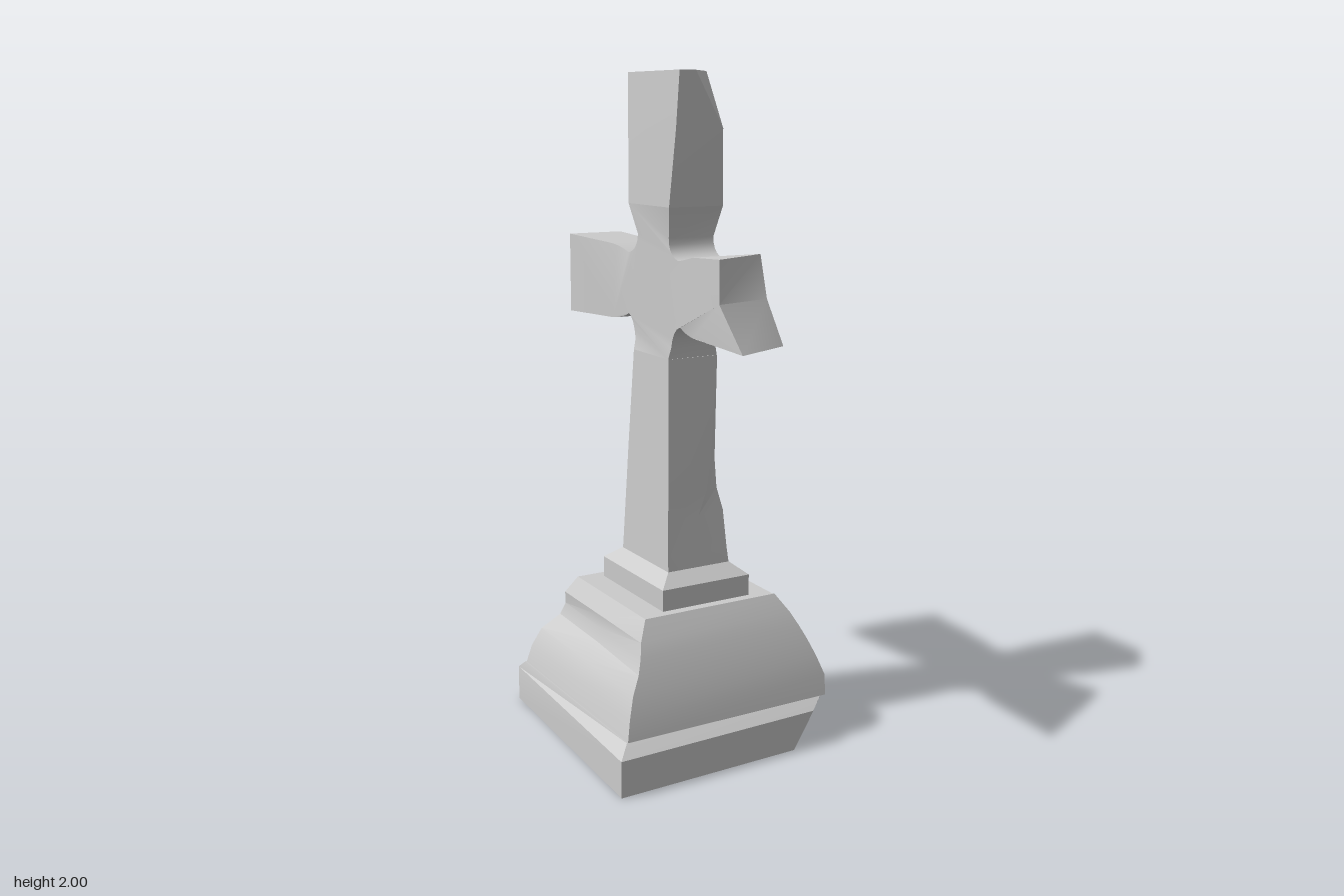
import * as THREE from 'three';
import { toCreasedNormals } from 'three/addons/utils/BufferGeometryUtils.js';

const material = new THREE.MeshStandardMaterial({ color: 0xcccccc });
const lerp = THREE.MathUtils.lerp;

// One horizontal section: front-left, the two ends of the (chipped) front-right corner,
// back-right, back-left. Without a and b the corner is whole.
function ring(y, x, zBack, zFront, a = [x, zFront], b = a) {
  return { y, pts: [[-x, zFront], a, b, [x, zBack], [-x, zBack]] };
}

// Skin between sections, closed at both ends
function loft(rings) {
  const pos = [];
  const P = rings.map(r => r.pts.map(([x, z]) => new THREE.Vector3(x, r.y, z)));
  const n = P[0].length;
  const tri = (a, b, c) => {
    const area = b.clone().sub(a).cross(c.clone().sub(a)).length();
    if (area > 1e-7) for (const v of [a, b, c]) pos.push(v.x, v.y, v.z);
  };
  for (let k = 0; k < P.length - 1; k++) {
    for (let i = 0; i < n; i++) {
      const j = (i + 1) % n;
      tri(P[k][i], P[k][j], P[k + 1][j]);
      tri(P[k][i], P[k + 1][j], P[k + 1][i]);
    }
  }
  const top = P[P.length - 1];
  for (let i = 1; i < n - 1; i++) {
    tri(P[0][0], P[0][i + 1], P[0][i]);
    tri(top[0], top[i], top[i + 1]);
  }
  const g = new THREE.BufferGeometry();
  g.setAttribute('position', new THREE.Float32BufferAttribute(pos, 3));
  return toCreasedNormals(g, 0.35);
}

// Centre of the cross with both arms: a side outline (z, y) given thickness along x
function armsGeometry() {
  const s = new THREE.Shape();
  s.moveTo(0.105, 1.18);
  s.quadraticCurveTo(0.11, 1.27, 0.16, 1.28);
  s.quadraticCurveTo(0.2, 1.26, 0.26, 1.26);
  s.lineTo(0.52, 1.253); // broken front end
  s.lineTo(0.4, 1.375);
  s.lineTo(0.4, 1.497);
  s.lineTo(0.24, 1.488);
  s.quadraticCurveTo(0.18, 1.475, 0.15, 1.47);
  s.quadraticCurveTo(0.095, 1.48, 0.095, 1.53);
  s.lineTo(0.123, 1.62);
  s.lineTo(-0.12, 1.62);
  s.lineTo(-0.09, 1.53);
  s.quadraticCurveTo(-0.095, 1.48, -0.15, 1.47);
  s.quadraticCurveTo(-0.19, 1.485, -0.25, 1.49);
  s.lineTo(-0.52, 1.5);
  s.lineTo(-0.52, 1.25);
  s.lineTo(-0.25, 1.26);
  s.quadraticCurveTo(-0.19, 1.265, -0.15, 1.285);
  s.quadraticCurveTo(-0.11, 1.27, -0.105, 1.18);
  const g = new THREE.ExtrudeGeometry(s, { depth: 1, bevelEnabled: false, curveSegments: 5 });
  const p = g.attributes.position;
  for (let i = 0; i < p.count; i++) {
    let z = p.getX(i);
    const y = p.getY(i), w = p.getZ(i);
    const reach = Math.min(Math.max(Math.abs(z) - 0.18, 0) / (z > 0 ? 0.22 : 0.34), 1);
    let half = lerp(0.075, 0.092, reach);
    if (y > 1.6) half = 0.09;
    else if (y < 1.2) half = 0.083;
    // the break runs further back on the right-hand side
    if (z > 0.35 && w === 0) z -= y > 1.45 ? 0.08 : y > 1.3 ? 0.045 : 0.08;
    p.setXYZ(i, (1 - 2 * w) * half, y, z);
  }
  return toCreasedNormals(g, 0.5);
}

export function createModel() {
  const model = new THREE.Group();
  const add = (name, geometry) => {
    const mesh = new THREE.Mesh(geometry, material);
    mesh.name = name;
    model.add(mesh);
  };

  // Slightly skewed plinth with a broken front corner
  const plinth = (y, a, b) => ({
    y, pts: [[-0.395, 0.387], a, b, [0.39, -0.395], [-0.362, -0.395]],
  });
  add('plinth', loft([
    plinth(0, [0.2, 0.375], [0.365, 0.22]),
    plinth(0.11, [0.27, 0.372], [0.368, 0.27]),
    { y: 0.14, pts: [[-0.355, 0.345], [0.325, 0.334], [0.34, 0.32], [0.35, -0.355], [-0.355, -0.355]] },
  ]));

  // Domed base, worn on its right-front corner and gouged along the -x side
  const profile = [[0.14, 0.352], [0.2, 0.338], [0.26, 0.318], [0.31, 0.298],
    [0.35, 0.28], [0.39, 0.26], [0.445, 0.225]];
  const gouge = [0, 0, 0.005, 0.035, 0.03, 0.005, 0];
  add('domedBase', loft(profile.map(([y, r], k) => {
    const f = r - 0.006, d = gouge[k];
    const worn = y < 0.2 ? 0.02 : 0;
    return {
      y, pts: [[-r + d * 0.3, f], [r - worn, f], [r - 0.005, f - worn], [r, -r],
        [-r + d, -r + d * 0.5], [-r + d * 0.8, 0]],
    };
  })));

  // Stepped foot
  add('foot', loft([
    ring(0.44, 0.15, -0.19, 0.19), ring(0.51, 0.15, -0.19, 0.19), ring(0.546, 0.106, -0.145, 0.145),
  ]));

  // Tapered shaft with a chipped front edge
  add('shaft', loft([
    ring(0.54, 0.106, -0.143, 0.145),
    ring(0.59, 0.104, -0.14, 0.141, [0.07, 0.141], [0.104, 0.135]),
    ring(0.7, 0.1, -0.134, 0.134, [0.01, 0.125], [0.11, 0.102]),
    ring(0.77, 0.097, -0.131, 0.13, [0.04, 0.12], [0.093, 0.092]),
    ring(0.86, 0.094, -0.126, 0.125, [0.052, 0.122], [0.088, 0.088]),
    ring(1.18, 0.083, -0.105, 0.107),
  ]));

  add('crossArms', armsGeometry());

  // Upper post with a chipped top corner
  add('upperPost', loft([
    ring(1.62, 0.09, -0.12, 0.123),
    ring(1.84, 0.081, -0.136, 0.147, [0.074, 0.147]),
    ring(2, 0.073, -0.15, 0.153, [-0.02, 0.153], [0.07, 0.06]),
  ]));

  return model;
}
